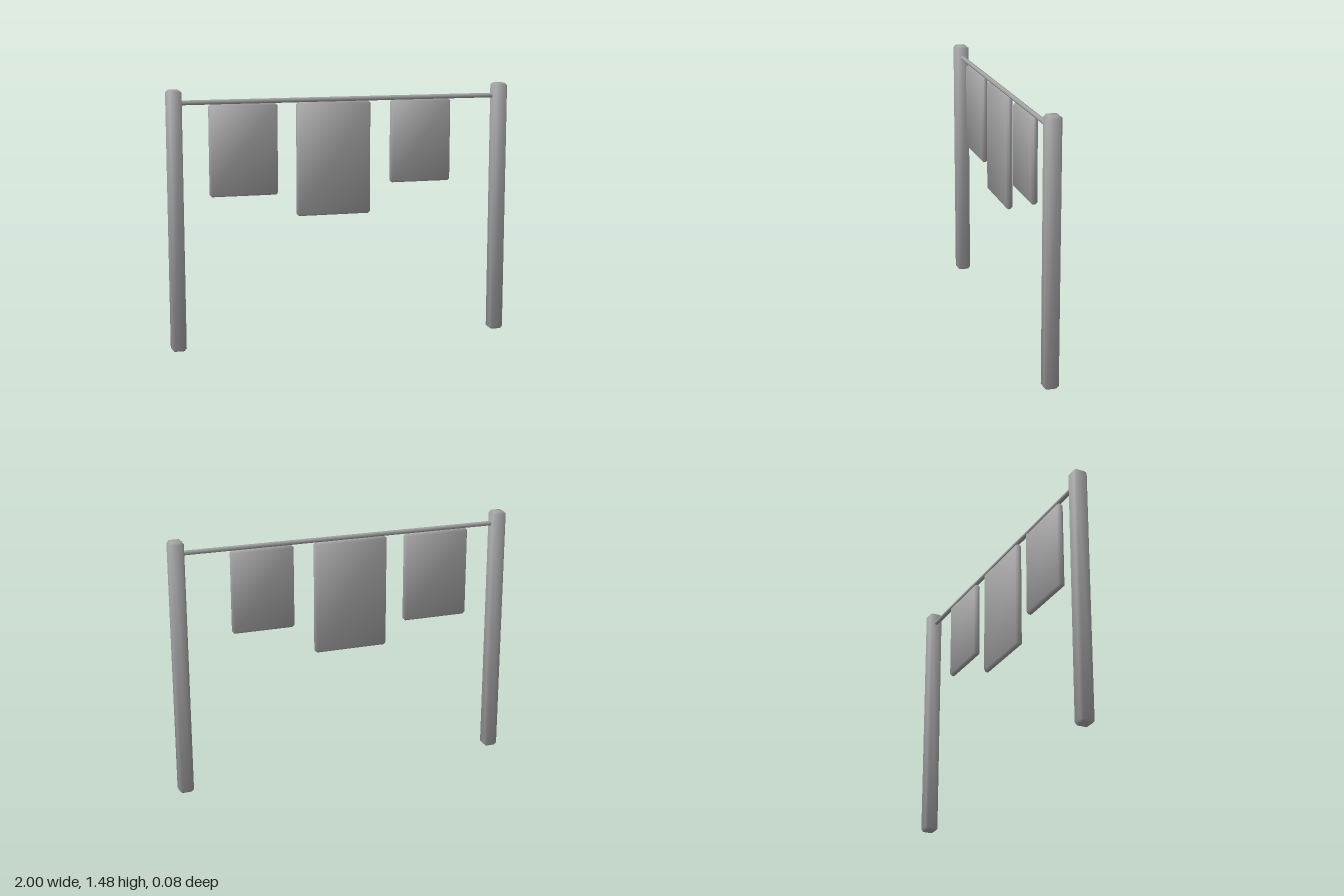
import * as THREE from 'three';
import { ConvexGeometry } from 'three/addons/geometries/ConvexGeometry.js';

// Box with chamfered edges, shaded softly across its faces
function chamferBox(w, h, d, b) {
  const half = [w / 2, h / 2, d / 2];
  const points = [];
  for (const sx of [-1, 1]) for (const sy of [-1, 1]) for (const sz of [-1, 1]) {
    for (let axis = 0; axis < 3; axis++) {
      const c = [sx, sy, sz].map((s, i) => s * (half[i] - (i === axis ? 0 : b)));
      points.push(new THREE.Vector3(...c));
    }
  }
  const geometry = new ConvexGeometry(points);
  const pos = geometry.attributes.position;
  const normal = geometry.attributes.normal;
  const v = new THREE.Vector3();
  for (let i = 0; i < pos.count; i++) {
    const p = [pos.getX(i), pos.getY(i), pos.getZ(i)];
    v.set(...p.map((c, k) => Math.sign(c) * (half[k] - Math.abs(c) < b / 2 ? 1 : 0.39))).normalize();
    normal.setXYZ(i, v.x, v.y, v.z);
  }
  return geometry;
}

export function createModel() {
  const model = new THREE.Group();
  model.name = 'hangingBannerFrame';
  const grey = new THREE.MeshStandardMaterial({ color: 0xa3a3a3 });
  grey.name = 'plain grey';

  const add = (name, geometry, x, y) => {
    const mesh = new THREE.Mesh(geometry, grey);
    mesh.name = name;
    mesh.position.set(x, y, 0);
    model.add(mesh);
    return mesh;
  };

  // Upright posts
  const post = chamferBox(0.083, 1.48, 0.083, 0.014);
  add('rightPost', post, -0.9585, 0.74);
  add('leftPost', post, 0.9585, 0.74);

  // Crossbar between the posts
  const bar = new THREE.CylinderGeometry(0.0135, 0.0135, 1.85, 8);
  add('crossbar', bar, 0, 1.408).rotation.z = Math.PI / 2;

  // Banners: [name, min x, max x, bottom]
  const top = 1.395;
  for (const [name, x0, x1, bottom] of [
    ['rightBanner', -0.765, -0.374, 0.874],
    ['middleBanner', -0.263, 0.171, 0.743],
    ['leftBanner', 0.293, 0.656, 0.916],
  ]) {
    add(name, chamferBox(x1 - x0, top - bottom, 0.038, 0.012), (x0 + x1) / 2, (top + bottom) / 2);
  }
  return model;
}
